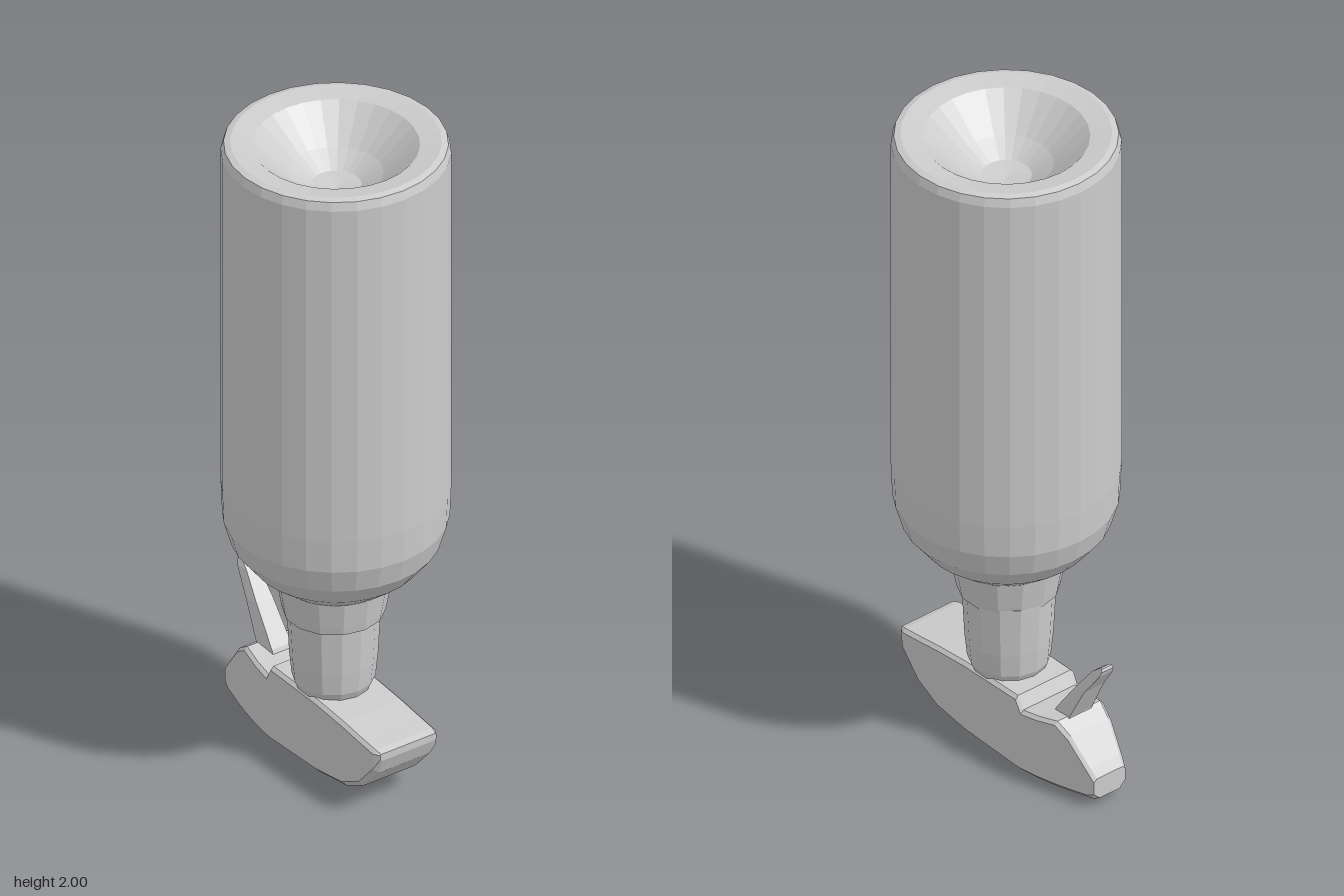
import * as THREE from 'three';

const material = new THREE.MeshStandardMaterial({ color: 0xcccccc, flatShading: true });

// Capped skin over equal-length rings; the first ring runs counter-clockwise seen from outside
function loft(rings) {
  const n = rings[0].length, last = (rings.length - 1) * n, index = [];
  for (let i = 0; i < rings.length - 1; i++) {
    for (let j = 0; j < n; j++) {
      const a = i * n + j, b = i * n + (j + 1) % n;
      index.push(a, a + n, b, b, a + n, b + n);
    }
  }
  for (let j = 1; j < n - 1; j++) {
    index.push(0, j, j + 1, last, last + j + 1, last + j);
  }
  const geo = new THREE.BufferGeometry();
  geo.setAttribute('position', new THREE.Float32BufferAttribute(rings.flat(2), 3));
  geo.setIndex(index);
  geo.computeVertexNormals();
  return geo;
}

function lathe(points, sides) {
  return new THREE.LatheGeometry(points.map(([r, y]) => new THREE.Vector2(r, y)), sides);
}

export function createModel() {
  const group = new THREE.Group();
  const add = (name, geo, x = 0, z = 0) => {
    const mesh = new THREE.Mesh(geo, material);
    mesh.name = name;
    mesh.position.set(x, 0, z);
    group.add(mesh);
  };

  // Upturned bottle: shoulder, straight wall and the hollow in its base
  add('bottle', lathe([
    [0, 0.6], [0.165, 0.6], [0.235, 0.655], [0.29, 0.725], [0.312, 0.8], [0.316, 0.9],
    [0.316, 1.97], [0.308, 1.995], [0.29, 2], [0.23, 1.99], [0.13, 1.9], [0.07, 1.86], [0, 1.85],
  ], 28), -0.003, 0.055);

  // Collar under the shoulder
  add('collar', lathe([
    [0, 0.49], [0.142, 0.49], [0.146, 0.51], [0.162, 0.605], [0, 0.605],
  ], 14), -0.008, 0.052);

  // Neck tapering into the base
  add('neck', lathe([
    [0, 0.2], [0.085, 0.2], [0.115, 0.27], [0.122, 0.34], [0.13, 0.5], [0, 0.5],
  ], 14), 0, 0.04);

  // Boat-shaped base: z, bottom y, top y, half width
  const baseRings = [
    [0.385, 0.195, 0.217, 0.095], [0.365, 0.145, 0.223, 0.106], [0.3, 0.072, 0.23, 0.106],
    [0.22, 0.03, 0.24, 0.106], [0.1, 0.012, 0.25, 0.106], [-0.11, 0.003, 0.252, 0.104],
    [-0.13, 0.003, 0.213, 0.103], [-0.19, 0.006, 0.222, 0.097], [-0.255, 0.01, 0.235, 0.086],
    [-0.3, 0.014, 0.205, 0.077], [-0.365, 0.02, 0.125, 0.062], [-0.385, 0.03, 0.098, 0.056],
  ].map(([z, lo, hi, w]) => {
    const c = Math.min(0.02, (hi - lo) * 0.3);
    return [[-w + c, lo, z], [w - c, lo, z], [w, lo + c, z], [w, hi - c / 2, z],
      [w - c / 2, hi, z], [-w + c / 2, hi, z], [-w, hi - c / 2, z], [-w, lo + c, z]];
  });
  add('base', loft(baseRings));

  // Lever leaning backwards: y, back z, front z, half width
  const leverRings = [
    [0.19, -0.255, -0.18, 0.042], [0.235, -0.262, -0.2, 0.041], [0.345, -0.318, -0.278, 0.035],
    [0.42, -0.37, -0.335, 0.025], [0.436, -0.376, -0.355, 0.021], [0.445, -0.373, -0.366, 0.018],
  ].map(([y, z0, z1, w]) => [[-w, y, z0], [w, y, z0], [w * 0.8, y, z1], [-w * 0.8, y, z1]]);
  add('lever', loft(leverRings));

  return group;
}
